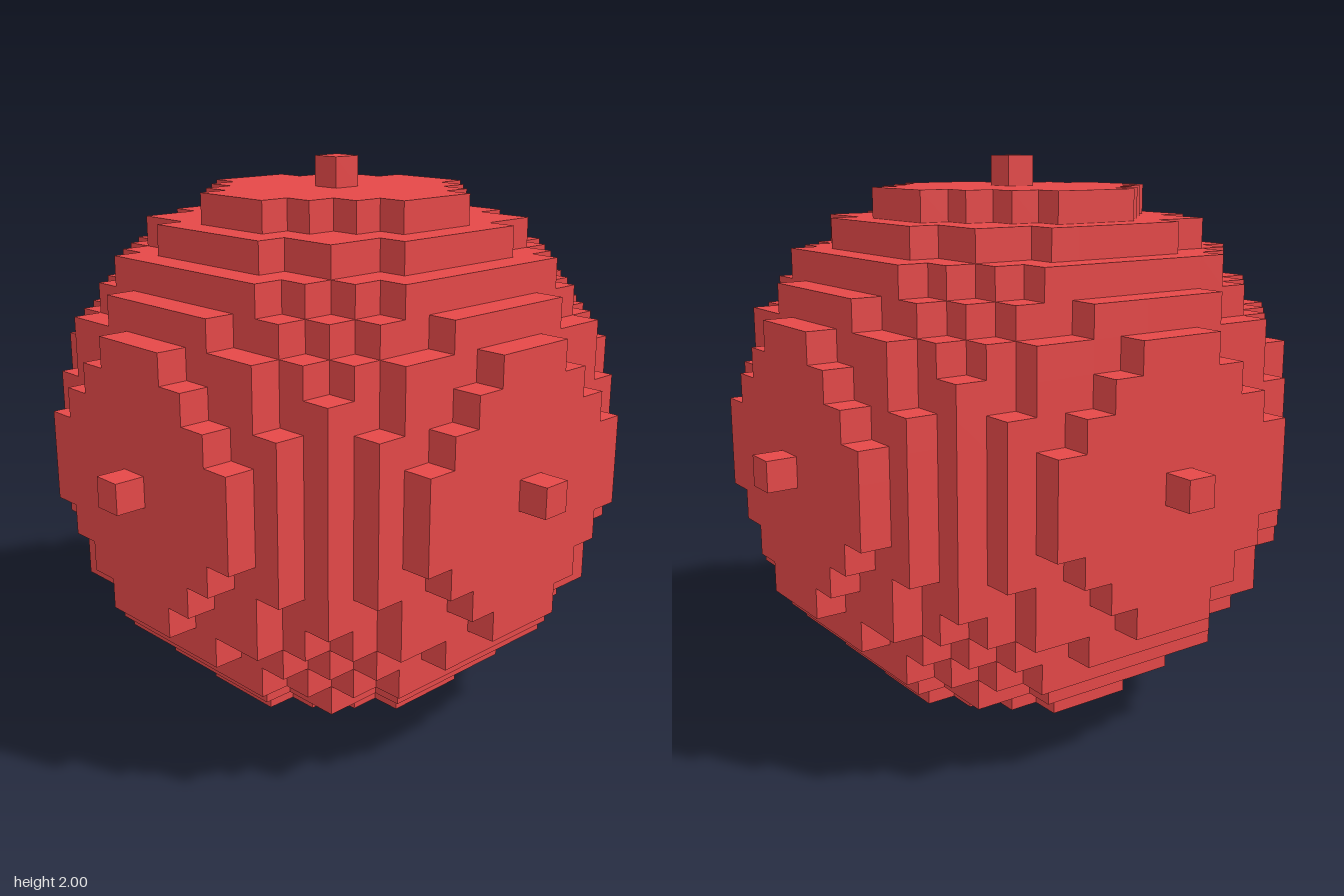
import * as THREE from 'three';

const RADIUS = 9;                    // in cubes
const CUBE = 2 / (2 * RADIUS + 1);   // the sphere is 19 cubes across

const filled = (p) => p[0] ** 2 + p[1] ** 2 + p[2] ** 2 <= RADIUS ** 2;

// Adds one square face of the cube at p, facing along the axis in direction sign.
function addFace(positions, p, axis, sign) {
  const u = (axis + 1) % 3, v = (axis + 2) % 3;
  const corners = [[-1, -1], [1, -1], [1, 1], [-1, 1]].map(([a, b]) => {
    const c = [...p];
    c[axis] += sign * 0.5;
    c[u] += a * 0.5 * sign;   // mirrored on the negative side to keep the face outward
    c[v] += b * 0.5;
    return c.map((n) => n * CUBE);
  });
  for (const i of [0, 1, 2, 0, 2, 3]) positions.push(...corners[i]);
}

// Stepped shell made of every exposed cube face.
function blockSphereGeometry() {
  const positions = [];
  for (let x = -RADIUS; x <= RADIUS; x++)
    for (let y = -RADIUS; y <= RADIUS; y++)
      for (let z = -RADIUS; z <= RADIUS; z++) {
        const p = [x, y, z];
        if (!filled(p)) continue;
        for (let axis = 0; axis < 3; axis++)
          for (const sign of [-1, 1]) {
            const next = [...p];
            next[axis] += sign;
            if (!filled(next)) addFace(positions, p, axis, sign);
          }
      }
  const geometry = new THREE.BufferGeometry();
  geometry.setAttribute('position', new THREE.Float32BufferAttribute(positions, 3));
  geometry.computeVertexNormals();
  return geometry;
}

export function createModel() {
  const red = new THREE.MeshStandardMaterial({ color: 0xe54848 });
  red.name = 'red';

  const sphere = new THREE.Mesh(blockSphereGeometry(), red);
  sphere.name = 'blockSphere';
  sphere.position.y = 1;

  const model = new THREE.Group();
  model.name = 'steppedSphere';
  model.add(sphere);
  return model;
}
